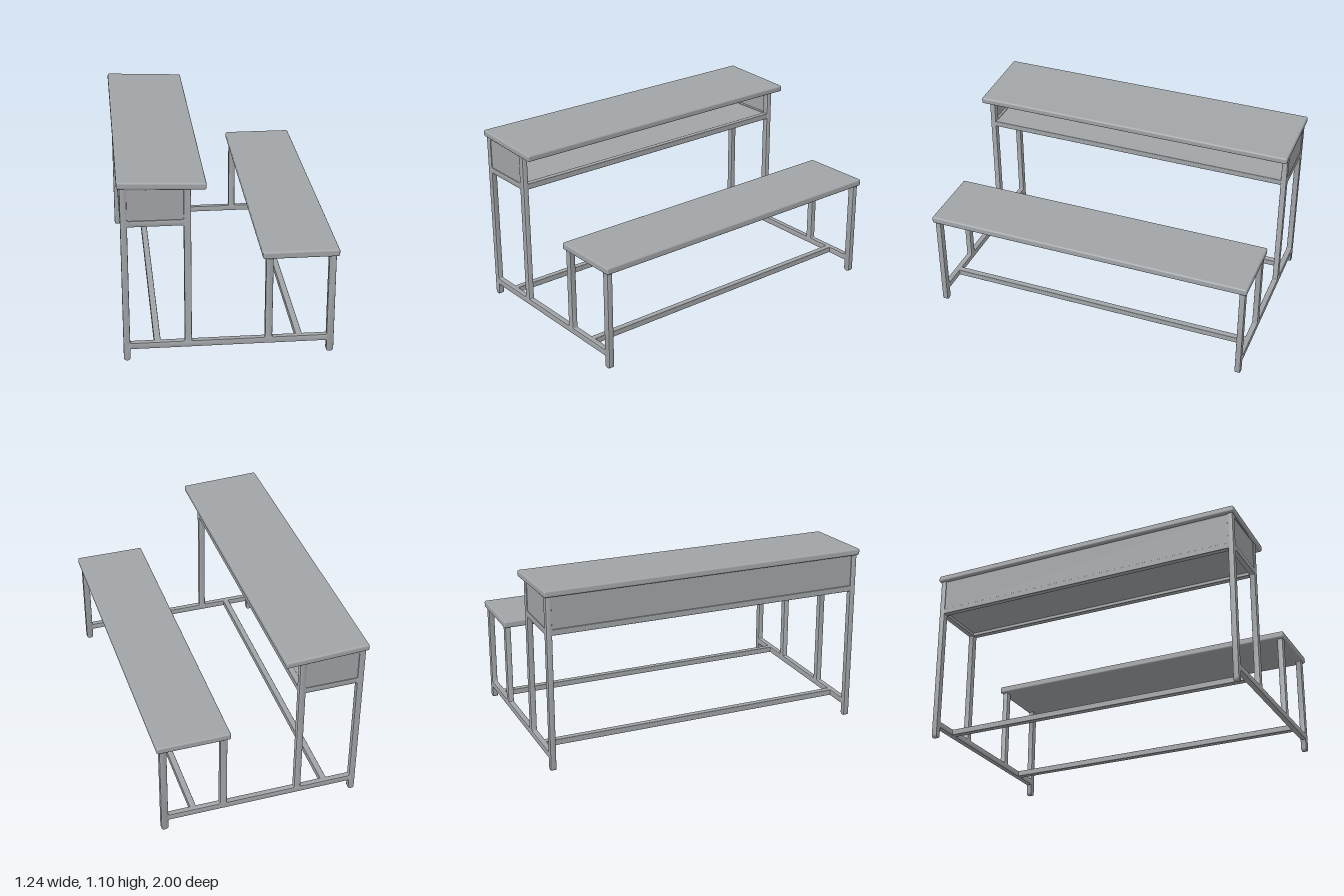
import * as THREE from 'three';
import { RoundedBoxGeometry } from 'three/addons/geometries/RoundedBoxGeometry.js';
import { toCreasedNormals } from 'three/addons/utils/BufferGeometryUtils.js';

const SLOPE = -0.041; // tilt of the writing surface
const END_Z = 0.971; // centre of each end frame

// Traces corners [x, y, radius] with rounded fillets
function roundedPath(path, corners) {
  const n = corners.length;
  corners.forEach(([x, y, r], i) => {
    const p = new THREE.Vector2(x, y);
    const toward = (c) => new THREE.Vector2(c[0], c[1]).sub(p).setLength(r).add(p);
    const a = toward(corners[(i + n - 1) % n]);
    const b = toward(corners[(i + 1) % n]);
    if (i === 0) path.moveTo(a.x, a.y);
    else path.lineTo(a.x, a.y);
    path.quadraticCurveTo(x, y, b.x, b.y);
  });
  path.closePath();
  return path;
}

function rectHole(x0, x1, y0, y1, r) {
  return roundedPath(new THREE.Path(), [[x0, y0, r], [x0, y1, r], [x1, y1, r], [x1, y0, r]]);
}

// Welded side frame: legs, floor rail and shelf rail in one outline
function endFrameGeometry() {
  const b = 0.004;
  const shape = roundedPath(new THREE.Shape(), [
    [-0.601, 0.009, 0.014], [-0.571, 0.009, 0.014], [-0.571, 0.081, 0.01],
    [0.567, 0.081, 0.01], [0.567, 0.009, 0.014], [0.601, 0.009, 0.014],
    [0.601, 0.63, 0.004], [0.209, 0.63, 0.004], [0.209, 0.111, 0.008],
    [-0.219, 0.111, 0.008], [-0.219, 1.06, 0.004], [-0.601, 1.075, 0.004],
  ]);
  shape.holes.push(
    rectHole(-0.571, -0.251, 0.111, 0.839, 0.014), // desk leg opening
    rectHole(-0.571, -0.251, 0.867, 1.055, 0.014), // compartment end
    rectHole(0.243, 0.567, 0.111, 0.616, 0.014), // bench leg opening
  );
  const geo = new THREE.ExtrudeGeometry(shape, {
    depth: 0.026, bevelEnabled: true, bevelThickness: b, bevelSize: b, bevelSegments: 2, curveSegments: 5,
  });
  geo.translate(0, 0, -0.013);
  return toCreasedNormals(geo, 0.6);
}

export function createModel() {
  const group = new THREE.Group();
  const grey = new THREE.MeshStandardMaterial({ color: 0xa1a4a7 });
  grey.name = 'painted grey';

  const add = (name, geo, x, y, z = 0) => {
    const mesh = new THREE.Mesh(geo, grey);
    mesh.name = name;
    mesh.position.set(x, y, z);
    group.add(mesh);
    return mesh;
  };
  const slab = (w, h, d, r) => new RoundedBoxGeometry(w, h, d, 3, r);

  // Tops
  add('deskTop', slab(0.492, 0.04, 2, 0.011), -0.375, 1.075).rotation.z = SLOPE;
  add('benchSeat', slab(0.436, 0.043, 2, 0.011), 0.404, 0.634);

  // End frames and the compartment's side panels
  const frame = endFrameGeometry();
  for (const side of [1, -1]) {
    const tag = side > 0 ? 'front' : 'back';
    add(tag + 'EndFrame', frame, 0, 0, side * END_Z);
    add(tag + 'SidePanel', new THREE.BoxGeometry(0.34, 0.2, 0.012), -0.411, 0.962, side * (END_Z + 0.006));
  }

  // Book compartment: back panel, shelf and the two rails below it
  add('compartmentBack', new THREE.BoxGeometry(0.012, 0.2, 1.92), -0.594, 0.962);
  add('compartmentShelf', new THREE.BoxGeometry(0.36, 0.012, 1.92), -0.41, 0.861);
  for (const x of [-0.587, -0.235]) {
    add('shelfRail', slab(0.036, 0.036, 1.93, 0.004), x, 0.853);
  }

  // Floor stretchers joining the end frames
  for (const x of [-0.411, 0.405]) {
    add('floorStretcher', slab(0.038, 0.036, 1.93, 0.004), x, 0.096);
  }

  return group;
}
